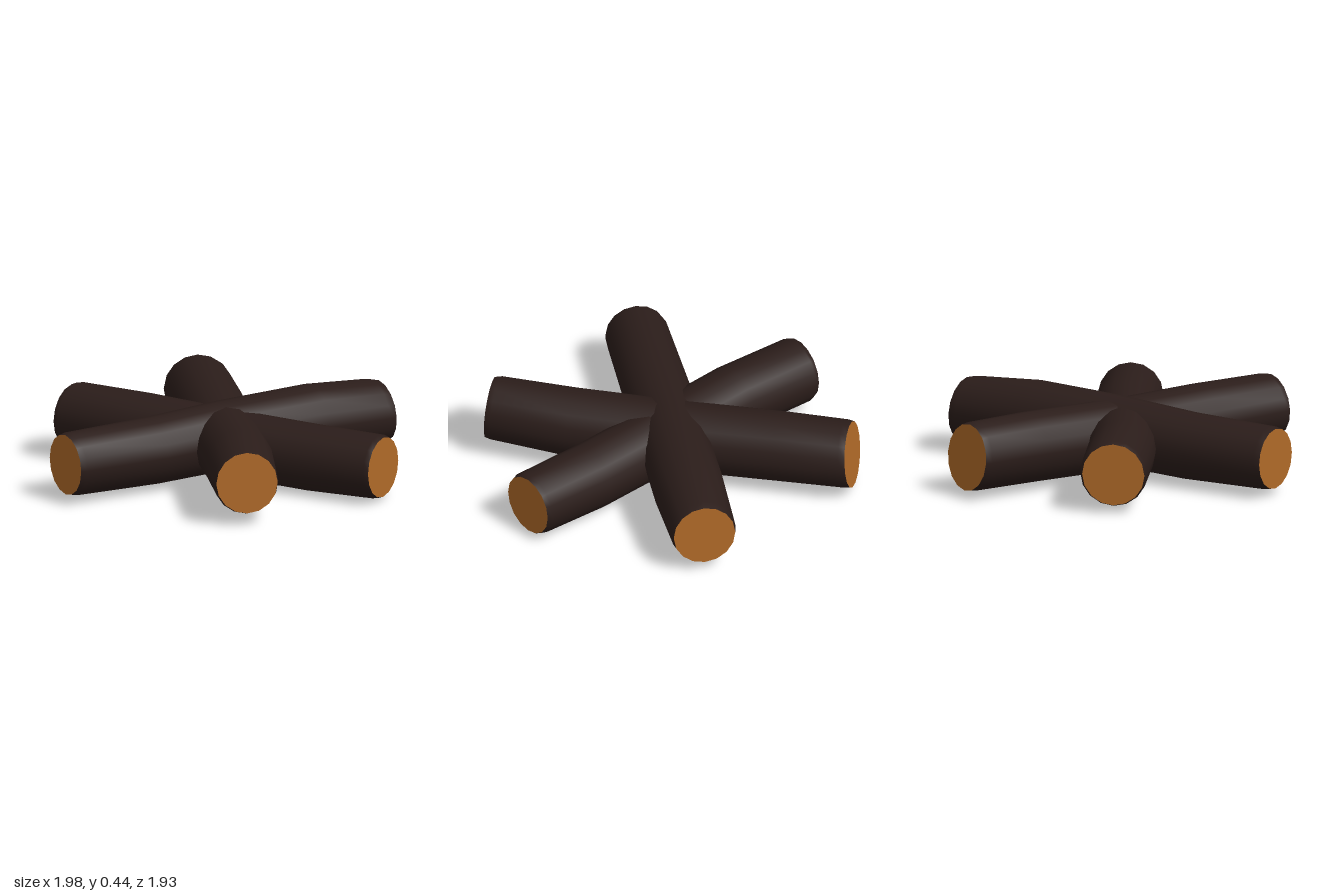
import * as THREE from 'three';

const SIDES = 16;
const UP = new THREE.Vector3(0, 1, 0);
const bark = new THREE.MeshStandardMaterial({ color: 0x2b1d1a });
const cutWood = new THREE.MeshStandardMaterial({ color: 0xb06a28 });

function makeMesh(name, points, index, material) {
  const geometry = new THREE.BufferGeometry().setFromPoints(points);
  geometry.setIndex(index);
  geometry.computeVertexNormals();
  const mesh = new THREE.Mesh(geometry, material);
  mesh.name = name;
  return mesh;
}

// A log swept through stations [x, y, z, radius]; tilts slant the two sawn ends [upward, sideways]
function makeLog({ name, stations, startTilt, endTilt }) {
  const last = stations.length - 1;
  const centres = stations.map(([x, y, z]) => new THREE.Vector3(x, y, z));
  const axis = centres[last].clone().sub(centres[0]).setY(0).normalize();
  const side = axis.clone().cross(UP);

  const rings = stations.map(([, , , r], i) => {
    const [tu, ts] = i <= 1 ? startTilt : i >= last - 1 ? endTilt : [0, 0];
    return Array.from({ length: SIDES }, (_, j) => {
      const a = (j / SIDES) * Math.PI * 2;
      const u = Math.sin(a) * r, s = Math.cos(a) * r;
      return centres[i].clone().addScaledVector(UP, u).addScaledVector(side, s)
        .addScaledVector(axis, tu * u + ts * s);
    });
  });

  const index = [];
  for (let i = 0; i < last; i++) {
    for (let j = 0; j < SIDES; j++) {
      const k = (j + 1) % SIDES;
      const a = i * SIDES + j, b = i * SIDES + k;
      index.push(a, a + SIDES, b, b, a + SIDES, b + SIDES);
    }
  }

  // Sawn end discs
  const disc = (label, ring, centre, flip) => {
    const tris = [];
    for (let j = 0; j < SIDES; j++) {
      const k = (j + 1) % SIDES;
      tris.push(SIDES, flip ? k : j, flip ? j : k);
    }
    return makeMesh(label, [...ring, centre], tris, cutWood);
  };

  const log = new THREE.Group();
  log.name = name;
  log.add(
    makeMesh('bark', rings.flat(), index, bark),
    disc('startCut', rings[0], centres[0], false),
    disc('endCut', rings[last], centres[last], true),
  );
  return log;
}

export function createModel() {
  const model = new THREE.Group();
  model.name = 'crossedLogs';
  const logs = [
    { // runs from the right (-x) to the left (+x)
      name: 'sidewaysLog',
      stations: [
        [-0.975, 0.228, 0.02, 0.172], [-0.945, 0.23, 0.02, 0.184], [-0.5, 0.23, 0.035, 0.187],
        [0, 0.21, 0.02, 0.185], [0.55, 0.195, 0.002, 0.185], [0.96, 0.2, 0, 0.178], [0.988, 0.2, 0, 0.168],
      ],
      startTilt: [0, -0.1], endTilt: [0, 0],
    },
    { // highest at the crossing
      name: 'upperLog',
      stations: [
        [0.46, 0.236, -0.88, 0.172], [0.437, 0.238, -0.84, 0.182], [0.25, 0.25, -0.49, 0.198],
        [-0.025, 0.24, 0, 0.193], [-0.25, 0.218, 0.4, 0.186], [-0.495, 0.217, 0.85, 0.176], [-0.513, 0.217, 0.883, 0.168],
      ],
      startTilt: [0.06, 0], endTilt: [0, 0],
    },
    { // lowest at the crossing
      name: 'lowerLog',
      stations: [
        [-0.657, 0.235, -0.802, 0.184], [-0.635, 0.236, -0.773, 0.19], [-0.4, 0.235, -0.48, 0.195],
        [-0.02, 0.222, 0.0, 0.196], [0.32, 0.232, 0.42, 0.192], [0.57, 0.247, 0.775, 0.178], [0.59, 0.248, 0.8, 0.17],
      ],
      startTilt: [0.1, 0], endTilt: [-0.05, 0],
    },
  ];
  for (const log of logs) model.add(makeLog(log));
  return model;
}
